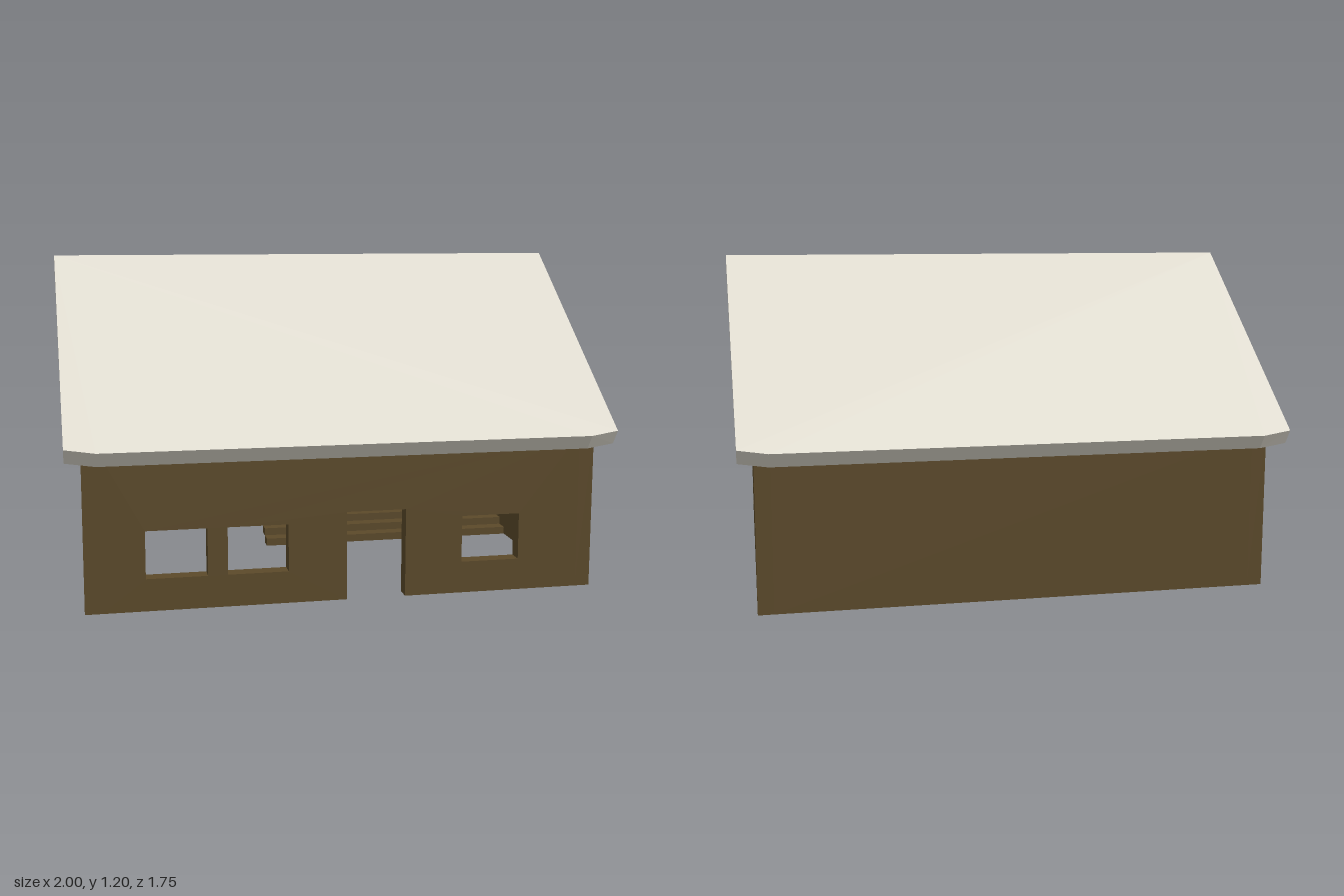
import * as THREE from 'three';

const WALL = new THREE.MeshStandardMaterial({ color: 0x5c4a2a, flatShading: true });
const ROOF = new THREE.MeshStandardMaterial({ color: 0xdfdbcf, flatShading: true });

const HX = 0.92, HZ = 0.78, T = 0.055;      // half width, half depth, wall thickness
const EAVE = 0.57, APEX = 1.14;
const SILL = 0.115, HEAD = 0.285;           // window bottom and top

function mesh(name, geometry, material) {
  const m = new THREE.Mesh(geometry, material);
  m.name = name;
  return m;
}

function box(name, x0, x1, y0, y1, z0, z1) {
  const m = mesh(name, new THREE.BoxGeometry(x1 - x0, y1 - y0, z1 - z0), WALL);
  m.position.set((x0 + x1) / 2, (y0 + y1) / 2, (z0 + z1) / 2);
  return m;
}

// Wall panel from an outline, with a rectangular opening per [from, to] span
function panel(outline, windows) {
  const shape = new THREE.Shape(outline.map(([a, b]) => new THREE.Vector2(a, b)));
  for (const [a, b] of windows) {
    shape.holes.push(new THREE.Path([
      new THREE.Vector2(a, SILL), new THREE.Vector2(a, HEAD),
      new THREE.Vector2(b, HEAD), new THREE.Vector2(b, SILL),
    ]));
  }
  return new THREE.ExtrudeGeometry(shape, { depth: T, bevelEnabled: false });
}

function gable(name, x, windows) {
  const outline = [[-HZ, 0], [HZ, 0], [HZ, EAVE], [0, APEX], [-HZ, EAVE]];
  const g = panel(outline, windows);
  g.rotateY(-Math.PI / 2);
  g.translate(x, 0, 0);
  return mesh(name, g, WALL);
}

// Sloping slab: outline points [x, t], t running from ridge (0) to eave (1)
function roofSlope(name, side) {
  const outline = [[-1, 0], [-0.975, 0.98], [-0.87, 1], [0.87, 1], [0.975, 0.98], [1, 0]];
  const n = outline.length;
  const top = outline.map(([x, t]) => [x, 1.203 - 0.623 * t, side * 0.877 * t]);
  const under = outline.map(([x, t]) => [x, 1.14 - 0.612 * t, side * 0.84 * t]);
  const index = [];
  const tri = (a, b, c) => index.push(...(side > 0 ? [a, b, c] : [a, c, b]));
  for (let i = 1; i < n - 1; i++) {
    tri(0, i, i + 1);
    tri(n, n + i + 1, n + i);
  }
  for (let i = 0; i < n; i++) {
    const j = (i + 1) % n;
    tri(i, n + i, n + j);
    tri(i, n + j, j);
  }
  const g = new THREE.BufferGeometry();
  g.setAttribute('position', new THREE.Float32BufferAttribute([...top, ...under].flat(), 3));
  g.setIndex(index);
  const flat = g.toNonIndexed();
  flat.computeVertexNormals();
  return mesh(name, flat, ROOF);
}

export function createModel() {
  const house = new THREE.Group();
  house.name = 'house';

  // Front wall with the doorway cut into its outline
  const ix = HX - T, door = [0, 0.215, 0.32];
  const front = panel([
    [-ix, 0], [door[0], 0], [door[0], door[2]], [door[1], door[2]], [door[1], 0],
    [ix, 0], [ix, EAVE], [-ix, EAVE],
  ], [[-0.71, -0.495], [-0.425, -0.21], [0.425, 0.64]]);
  front.translate(0, 0, HZ - T);
  house.add(mesh('frontWall', front, WALL));
  house.add(box('backWall', -ix, ix, 0, EAVE, -HZ, -HZ + T));

  // Gable walls
  house.add(gable('leftGableWall', HX, [[0.17, 0.385]]));
  house.add(gable('rightGableWall', -HX + T, [[0.17, 0.385], [-0.53, -0.315]]));

  // Raised floor inside, with two steps down towards the door
  const x0 = -0.17;
  house.add(box('raisedFloor', x0, ix, 0.06, 0.09, -HZ + T, -0.08));
  for (let i = 0; i < 2; i++) {
    const z = -0.08 + i * 0.055;
    house.add(box('floorStep', x0, ix, 0.03 - i * 0.03, 0.06 - i * 0.03, z, z + 0.055));
  }

  // Roof
  house.add(roofSlope('frontRoofSlope', 1), roofSlope('backRoofSlope', -1));
  return house;
}
